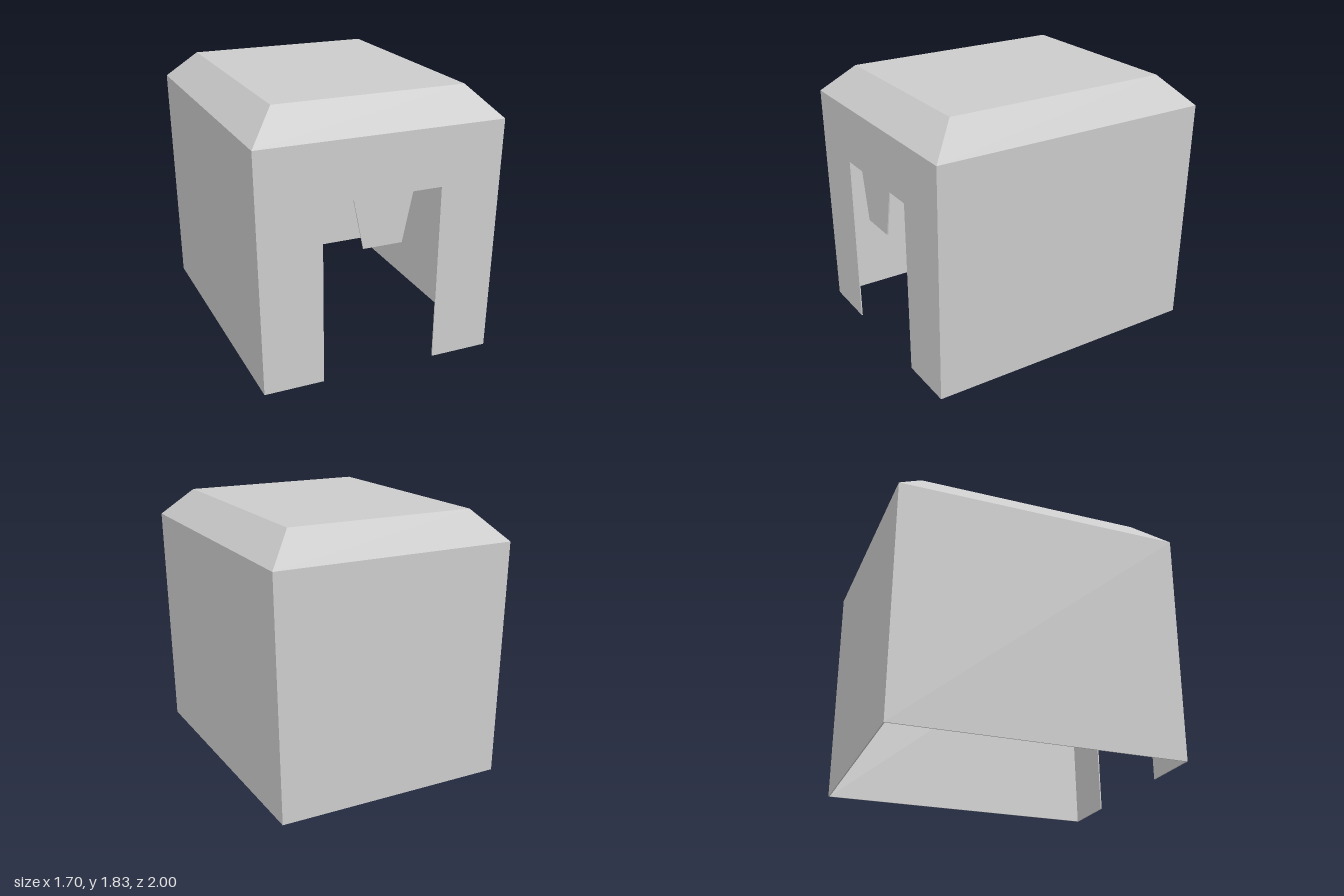
import * as THREE from 'three';

const T = 0.008; // wall thickness
const material = new THREE.MeshStandardMaterial({ color: 0xcccccc, flatShading: true });

// Four corners of a horizontal rectangle, counter-clockwise seen from above
const ring = (x, y, z) => [[x, y, z], [x, y, -z], [-x, y, -z], [-x, y, z]];

// Thin slab between an outer quad (counter-clockwise from outside) and an inner quad
function slab(name, outer, inner) {
  const pos = [];
  const quad = (a, b, c, d) => pos.push(...a, ...b, ...c, ...a, ...c, ...d);
  quad(...outer);
  quad(...[...inner].reverse());
  for (let i = 0; i < 4; i++) {
    const j = (i + 1) % 4;
    quad(outer[j], outer[i], inner[i], inner[j]);
  }
  const geo = new THREE.BufferGeometry();
  geo.setAttribute('position', new THREE.Float32BufferAttribute(pos, 3));
  geo.computeVertexNormals();
  const mesh = new THREE.Mesh(geo, material);
  mesh.name = name;
  return mesh;
}

// Flat wall cut from an outline in x and y
function wall(name, outline, z) {
  const shape = new THREE.Shape(outline.map(([x, y]) => new THREE.Vector2(x, y)));
  const geo = new THREE.ExtrudeGeometry(shape, { depth: T, bevelEnabled: false });
  geo.translate(0, 0, z);
  const mesh = new THREE.Mesh(geo, material);
  mesh.name = name;
  return mesh;
}

export function createModel() {
  const group = new THREE.Group();
  group.name = 'boxHelmet';

  // Outer and inner levels: bottom rim, eave and roof edge
  const outer = [ring(0.81, 0, 1), ring(0.85, 1.63, 1), ring(0.66, 1.83, 0.8)];
  const inner = [
    ring(0.81 - T, 0, 1 - T),
    ring(0.85 - T, 1.63 - T / 2, 1 - T),
    ring(0.66 - T / 2, 1.83 - T, 0.8 - T / 2),
  ];
  const side = (levels, k, i) => {
    const j = (i + 1) % 4;
    return [levels[k][i], levels[k][j], levels[k + 1][j], levels[k + 1][i]];
  };

  // Side walls, flaring slightly upwards
  group.add(slab('leftWall', side(outer, 0, 0), side(inner, 0, 0)));
  group.add(slab('rightWall', side(outer, 0, 2), side(inner, 0, 2)));

  // Sloped roof edges and flat top
  ['leftSlope', 'backSlope', 'rightSlope', 'frontSlope'].forEach((name, i) =>
    group.add(slab(name, side(outer, 1, i), side(inner, 1, i))));
  group.add(slab('top', outer[2], inner[2]));

  // Plain back wall
  group.add(wall('backWall', [[-0.81, 0], [0.81, 0], [0.85, 1.63], [-0.85, 1.63]], -1));

  // Front wall with the face opening and the nose guard hanging into it
  const half = [[0.135, 0.895], [0.205, 1.23], [0.41, 1.23], [0.4, 0], [0.81, 0], [0.85, 1.63]];
  const mirrored = half.map(([x, y]) => [-x, y]).reverse();
  group.add(wall('frontWall', [...half, ...mirrored], 1 - T));

  return group;
}
